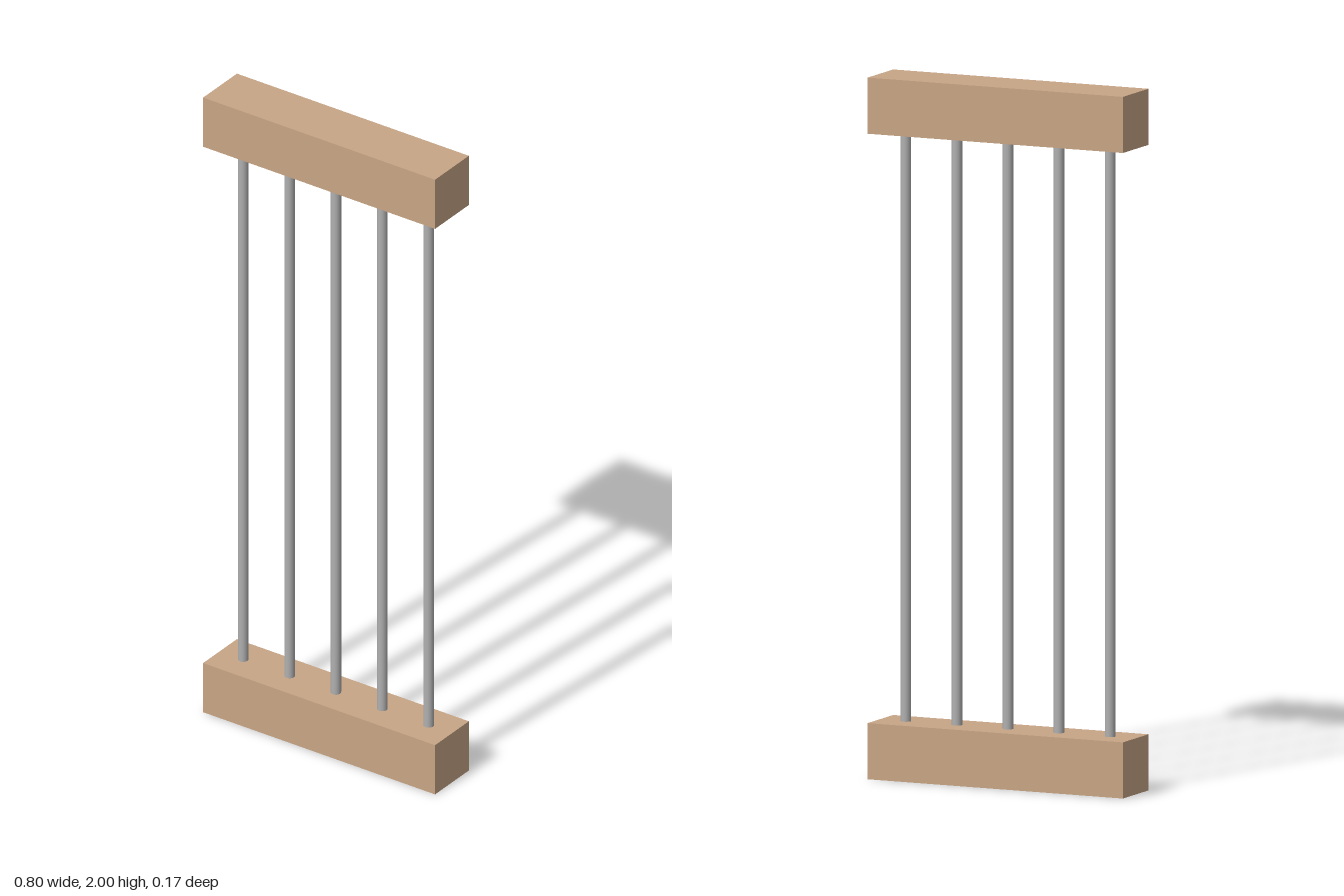
import * as THREE from 'three';

const WIDTH = 0.8, HEIGHT = 0.16, DEPTH = 0.165, TOTAL = 2;

export function createModel() {
  const model = new THREE.Group();
  model.name = 'barredFrame';

  const wood = new THREE.MeshStandardMaterial({ color: 0xc8a585, side: THREE.DoubleSide });
  const metal = new THREE.MeshStandardMaterial({ color: 0xb0b0b0 });

  // Closed top beam
  const topBeam = new THREE.Mesh(new THREE.BoxGeometry(WIDTH, HEIGHT, DEPTH), wood);
  topBeam.name = 'topBeam';
  topBeam.position.y = TOTAL - HEIGHT / 2;
  model.add(topBeam);

  // Bottom beam is a shell, open underneath: drop the box's -y face
  const shell = new THREE.BoxGeometry(WIDTH, HEIGHT, DEPTH);
  const faces = Array.from(shell.index.array);
  faces.splice(18, 6);
  shell.setIndex(faces);
  shell.clearGroups();
  const bottomBeam = new THREE.Mesh(shell, wood);
  bottomBeam.name = 'bottomBeam';
  bottomBeam.position.y = HEIGHT / 2;
  model.add(bottomBeam);

  // Five evenly spaced upright bars between the beams
  const bar = new THREE.CylinderGeometry(0.015, 0.015, TOTAL - 2 * HEIGHT, 16);
  for (let i = 0; i < 5; i++) {
    const mesh = new THREE.Mesh(bar, metal);
    mesh.name = `bar${i + 1}`;
    mesh.position.set((i - 2) * 0.16, TOTAL / 2, 0);
    model.add(mesh);
  }

  return model;
}
